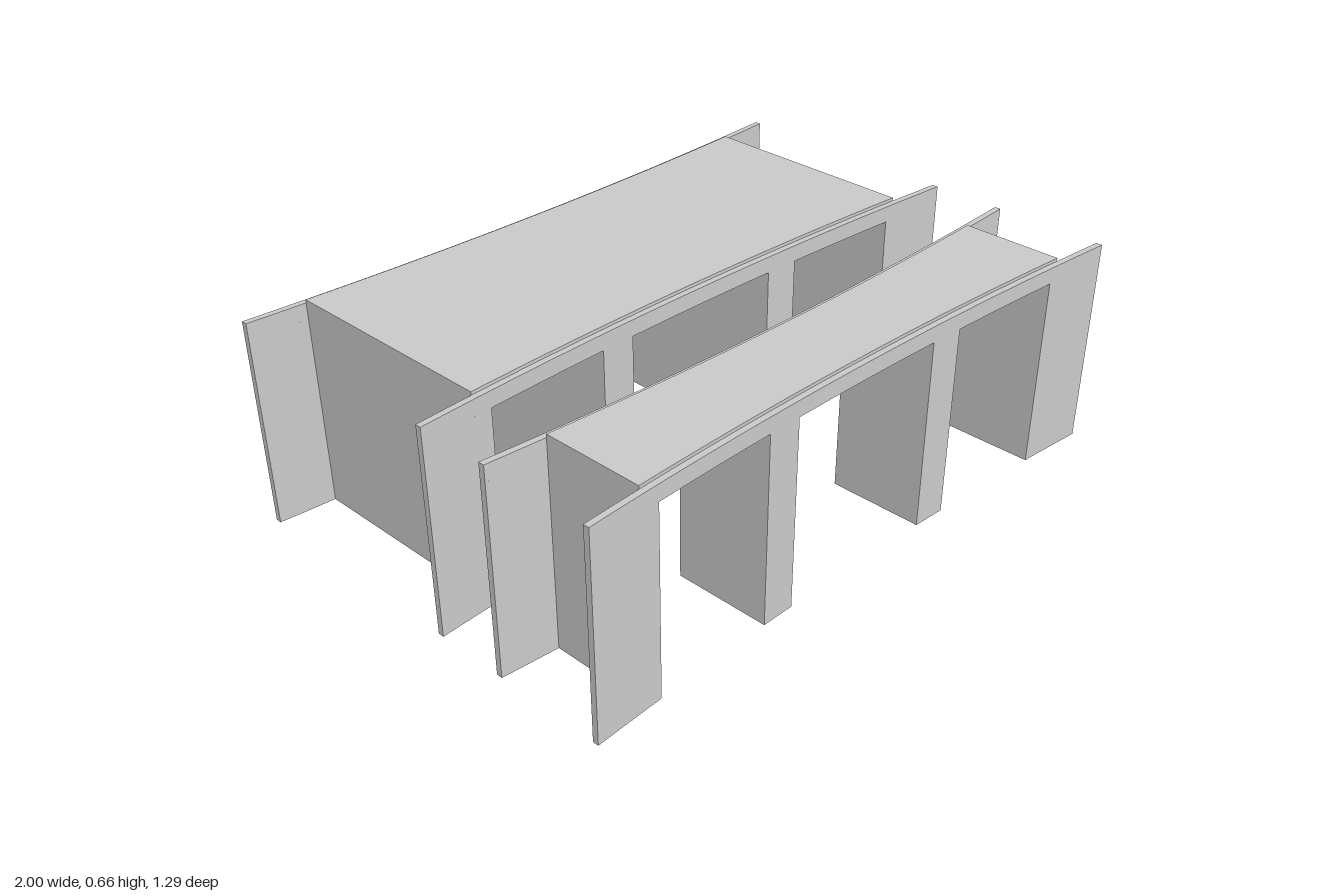
import * as THREE from 'three';

const SKEW = 0.074;      // sideways shift per unit of depth
const BOW = 0.036;       // how far a facade's ends curve outward
const HALF = 0.952;      // half length of a facade
const THICK = 0.018;     // facade thickness
const SOFFIT = 0.6, PARAPET = 0.65, DECK = 0.66;
const DECK_HALF = 0.78, OPENING_HALF = 0.735;
const PIER_X = 0.307, PIER_HALF = 0.052;

const material = new THREE.MeshStandardMaterial({ color: 0xcccccc });

// Block between two curved depth limits, skewed in plan
function block(name, x0, x1, y0, y1, zBack, zFront) {
  const segments = Math.max(1, Math.ceil((x1 - x0) / 0.08));
  const geometry = new THREE.BoxGeometry(1, 1, 1, segments, 1, 1);
  const p = geometry.attributes.position;
  for (let i = 0; i < p.count; i++) {
    const x = x0 + (p.getX(i) + 0.5) * (x1 - x0);
    const y = y0 + (p.getY(i) + 0.5) * (y1 - y0);
    const z = p.getZ(i) < 0 ? zBack(x) : zFront(x);
    p.setXYZ(i, x + SKEW * z, y, z);
  }
  geometry.computeVertexNormals();
  const mesh = new THREE.Mesh(geometry, material);
  mesh.name = name;
  return mesh;
}

// Depth of a bowed line; dir is +1 when its ends bend toward the front
const bowed = (z, dir) => (x) => z + dir * BOW * (x / HALF) ** 2;

// Bowed end wall: lintel, two wing walls and two pier faces
function facade(name, z, dir) {
  const group = new THREE.Group();
  group.name = name;
  const back = bowed(z - THICK / 2, dir), front = bowed(z + THICK / 2, dir);
  group.add(block('lintel', -HALF, HALF, SOFFIT, PARAPET, back, front));
  group.add(block('rightWing', -HALF, -OPENING_HALF, 0, SOFFIT, back, front));
  group.add(block('leftWing', OPENING_HALF, HALF, 0, SOFFIT, back, front));
  for (const s of [-1, 1]) {
    group.add(block('pierFace', s * PIER_X - PIER_HALF, s * PIER_X + PIER_HALF, 0, SOFFIT, back, front));
  }
  return group;
}

// One bridge: deck, abutments and piers held between two facades
function bridge(name, zBack, zFront) {
  const group = new THREE.Group();
  group.name = name;
  group.add(facade('backFacade', zBack, -1), facade('frontFacade', zFront, 1));
  const back = bowed(zBack + THICK / 2, -1), front = bowed(zFront - THICK / 2, 1);
  group.add(block('deck', -DECK_HALF, DECK_HALF, SOFFIT, DECK, back, front));
  group.add(block('rightAbutment', -DECK_HALF, -OPENING_HALF, 0, SOFFIT, back, front));
  group.add(block('leftAbutment', OPENING_HALF, DECK_HALF, 0, SOFFIT, back, front));
  for (const s of [-1, 1]) {
    group.add(block('pier', s * PIER_X - PIER_HALF, s * PIER_X + PIER_HALF, 0, SOFFIT, back, front));
  }
  return group;
}

export function createModel() {
  const model = new THREE.Group();
  model.name = 'twinBridges';
  model.add(bridge('narrowBridge', 0.332, 0.6));
  model.add(bridge('wideBridge', -0.6, 0.036));
  return model;
}
